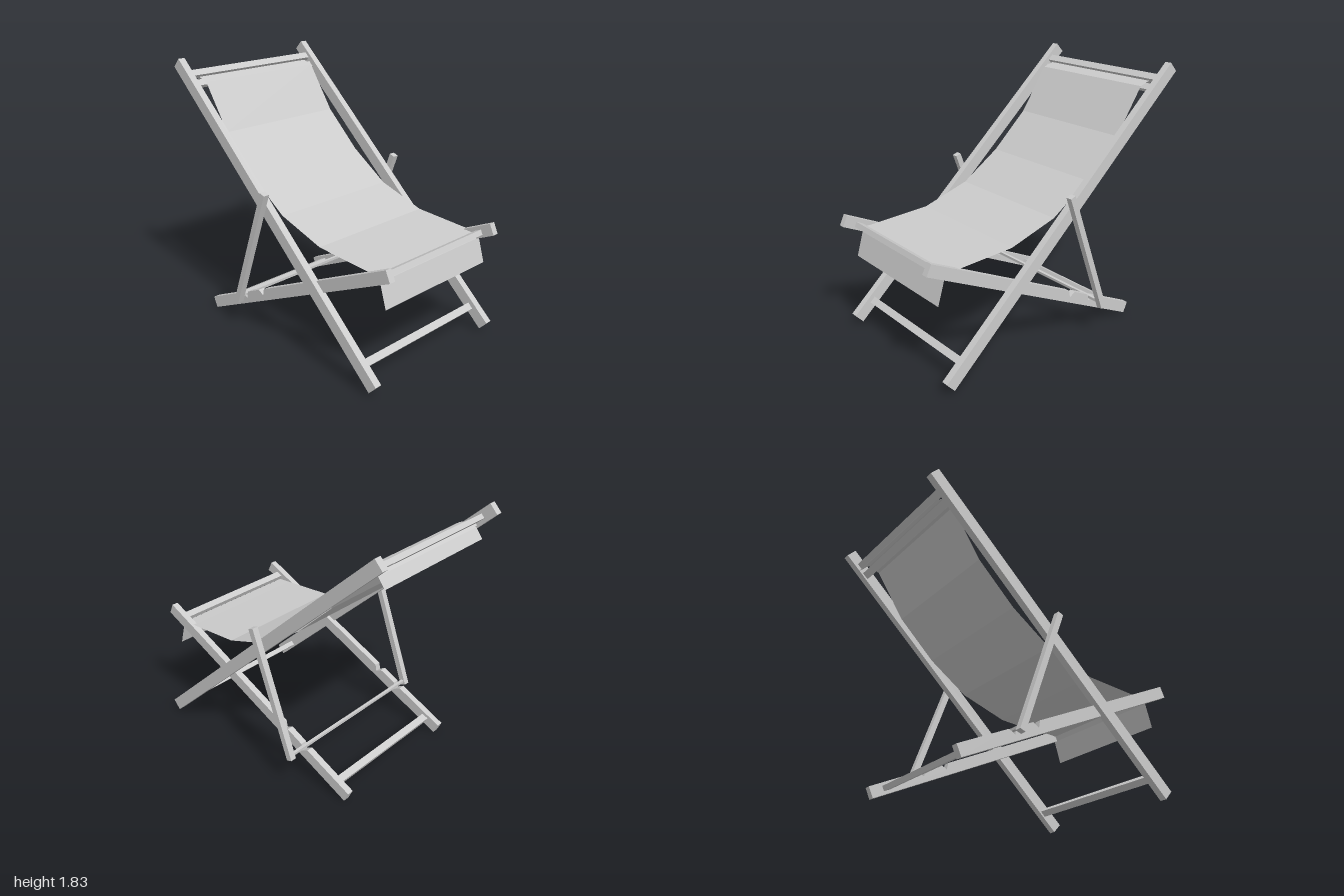
import * as THREE from 'three';

const wood = new THREE.MeshStandardMaterial({ color: 0xcccccc, flatShading: true });
const cloth = new THREE.MeshStandardMaterial({ color: 0xcccccc, flatShading: true, side: THREE.DoubleSide });

// Side outline given as [z, y] points, extruded from x0 to x1
function prism(name, points, x0, x1) {
  const shape = new THREE.Shape(points.map(([z, y]) => new THREE.Vector2(z, y)));
  const geo = new THREE.ExtrudeGeometry(shape, { depth: x1 - x0, bevelEnabled: false });
  geo.rotateY(-Math.PI / 2).translate(x1, 0, 0);
  const mesh = new THREE.Mesh(geo, wood);
  mesh.name = name;
  return mesh;
}

// Four corners of a straight board running from a to b, optional notches cut in its upper edge
function boardOutline(a, b, width, notches = []) {
  const len = Math.hypot(b[0] - a[0], b[1] - a[1]);
  const nz = -(b[1] - a[1]) / len * width / 2;
  const ny = (b[0] - a[0]) / len * width / 2;
  return [
    [a[0] + nz, a[1] + ny], [a[0] - nz, a[1] - ny],
    [b[0] - nz, b[1] - ny], [b[0] + nz, b[1] + ny],
    ...notches,
  ];
}

// Cross slat centred at c, its long side tilted along direction d
function slat(name, c, d, length, thick, x0, x1) {
  const k = length / 2 / Math.hypot(d[0], d[1]);
  const a = [c[0] - d[0] * k, c[1] - d[1] * k];
  const b = [c[0] + d[0] * k, c[1] + d[1] * k];
  return prism(name, boardOutline(a, b, thick), x0, x1);
}

export function createModel() {
  const chair = new THREE.Group();
  chair.name = 'deckChair';

  // Back frame: two long rails, one foot slat, two slats clamping the cloth
  const backFrame = new THREE.Group();
  backFrame.name = 'backFrame';
  const backRail = boardOutline([0.912, 0.062], [-0.972, 1.805], 0.083);
  const backDir = [-1.884, 1.743];
  backFrame.add(
    prism('backRailRight', backRail, -0.59, -0.54),
    prism('backRailLeft', backRail, 0.54, 0.59),
    slat('footSlat', [0.786, 0.165], backDir, 0.05, 0.036, -0.54, 0.54),
    slat('headSlatUpper', [-0.885, 1.727], backDir, 0.05, 0.034, -0.54, 0.54),
    slat('headSlatLower', [-0.84, 1.665], backDir, 0.05, 0.03, -0.54, 0.54),
  );
  chair.add(backFrame);

  // Seat frame: two notched rails joined by a front and a rear slat
  const seatFrame = new THREE.Group();
  seatFrame.name = 'seatFrame';
  const notches = [];
  for (const i of [0, 1]) {
    const z = -0.18 * i, y = -0.0833 * i;
    notches.unshift([-0.14 + z, 0.355 + y], [-0.15 + z, 0.305 + y], [-0.195 + z, 0.3305 + y]);
  }
  // the outline returns along the top edge from the rear end to the front end
  notches.sort((p, q) => p[0] - q[0]);
  const seatRail = boardOutline([-0.718, 0.044], [0.984, 0.832], 0.081);
  const notched = [seatRail[1], seatRail[2], seatRail[3], ...notches.reverse(), seatRail[0]];
  const seatDir = [1.702, 0.788];
  seatFrame.add(
    prism('seatRailRight', notched, -0.555, -0.509),
    prism('seatRailLeft', notched, 0.457, 0.503),
    slat('frontSlat', [0.885, 0.782], seatDir, 0.05, 0.036, -0.51, 0.458),
    slat('rearSlat', [-0.61, 0.094], seatDir, 0.05, 0.036, -0.51, 0.458),
  );
  chair.add(seatFrame);

  // Prop: two struts outside the rails with a rod resting in the notch
  const prop = new THREE.Group();
  prop.name = 'prop';
  const strut = boardOutline([-0.34, 0.222], [-0.02, 1.093], 0.042);
  prop.add(
    prism('strutRight', strut, -0.641, -0.597),
    prism('strutLeft', strut, 0.597, 0.641),
    slat('propRod', [-0.335, 0.253], [0, 1], 0.018, 0.022, -0.6, 0.6),
  );
  chair.add(prop);

  // Sling: one cloth strip following a faceted path, with loose flaps at both ends
  const path = [
    [0.917, 0.57], [0.868, 0.735], [0.85, 0.768], [0.755, 0.773], [0.352, 0.80], [0, 0.915],
    [-0.29, 1.113], [-0.56, 1.37], [-0.77, 1.683], [-0.85, 1.71], [-0.893, 1.68], [-0.943, 1.615],
  ];
  const geo = new THREE.PlaneGeometry(0.977, 1, 1, path.length - 1);
  const pos = geo.attributes.position;
  for (let i = 0; i < pos.count; i++) {
    const [z, y] = path[path.length - 1 - Math.floor(i / 2)];
    pos.setXYZ(i, pos.getX(i) - 0.002, y, z);
  }
  geo.computeVertexNormals();
  const sling = new THREE.Mesh(geo, cloth);
  sling.name = 'sling';
  chair.add(sling);

  return chair;
}
